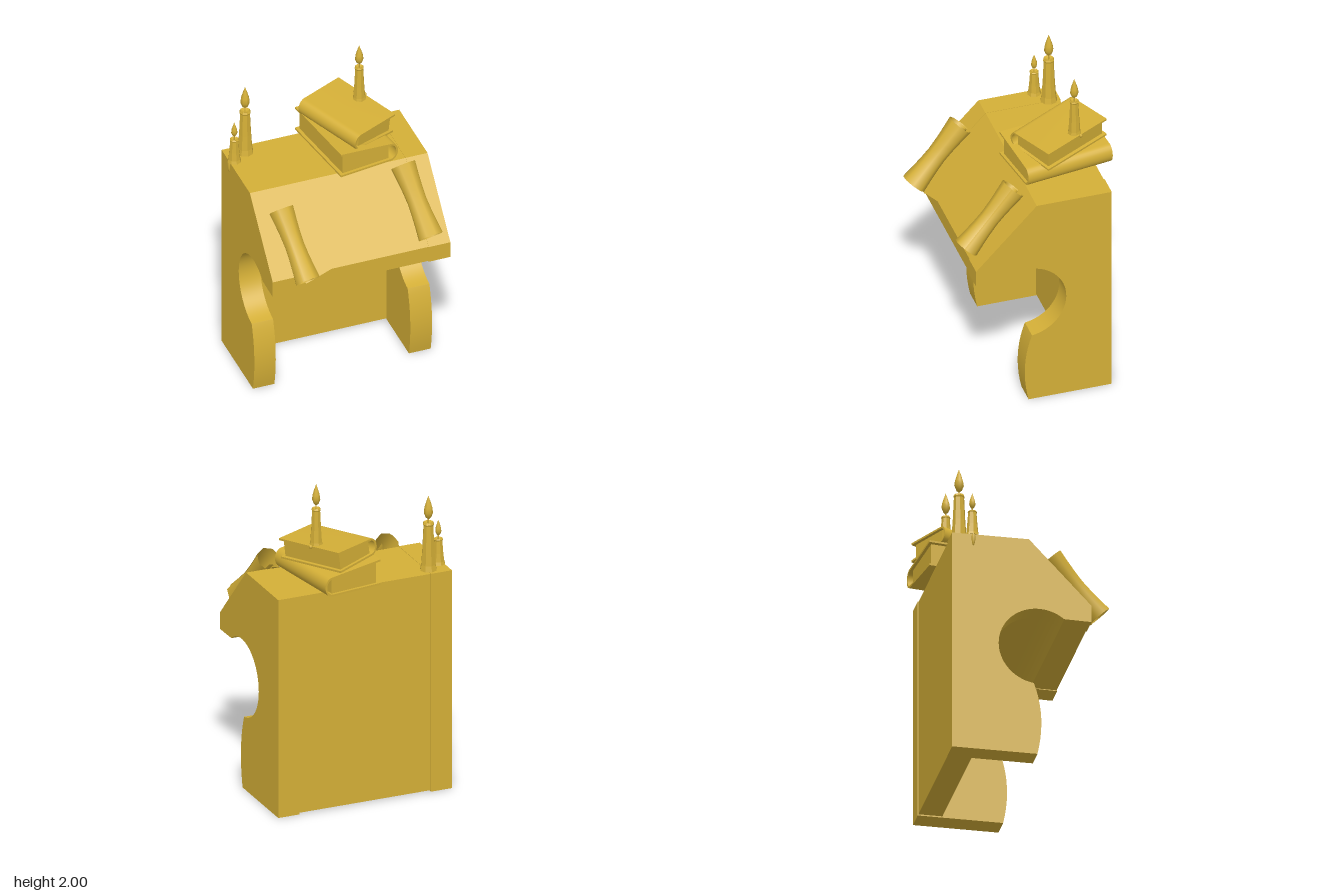
import * as THREE from 'three';
import { toCreasedNormals } from 'three/addons/utils/BufferGeometryUtils.js';
import { ParametricGeometry } from 'three/addons/geometries/ParametricGeometry.js';

const gold = new THREE.MeshStandardMaterial({ color: 0xd4af37 });
const goldThin = new THREE.MeshStandardMaterial({ color: 0xd4af37, side: THREE.DoubleSide });
const goldFacet = new THREE.MeshStandardMaterial({ color: 0xd4af37, side: THREE.DoubleSide, flatShading: true });

const shapeOf = (pts) => new THREE.Shape(pts.map(([x, y]) => new THREE.Vector2(x, y)));

function add(parent, name, geometry, material = gold) {
  const mesh = new THREE.Mesh(geometry, material);
  mesh.name = name;
  parent.add(mesh);
  return mesh;
}

// Points on an ellipse from angle a0 to a1
function arc(cx, cy, rx, ry, a0, a1, n) {
  return Array.from({ length: n + 1 }, (_, i) => {
    const a = a0 + (a1 - a0) * i / n;
    return [cx + rx * Math.cos(a), cy + ry * Math.sin(a)];
  });
}

// Side profile given as [z, y], extruded between x0 and x1
function slab(profile, x0, x1) {
  const g = new THREE.ExtrudeGeometry(shapeOf(profile.map(([z, y]) => [-z, y])),
    { depth: x1 - x0, bevelEnabled: false });
  g.rotateY(Math.PI / 2).translate(x0, 0, 0);
  return toCreasedNormals(g, 0.4);
}

function makeDesk() {
  const desk = new THREE.Group();
  desk.name = 'desk';
  const foot = new THREE.QuadraticBezierCurve(
    new THREE.Vector2(0.07, 0), new THREE.Vector2(0.125, 0.24), new THREE.Vector2(0.05, 0.45))
    .getPoints(10).map((p) => [p.x, p.y]);
  const knee = arc(0.08, 0.69, 0.24, 0.24, -1.7, -2 * Math.PI + 0.9, 36);
  const lip = [[0.39, 0.875], [0.39, 0.98], [0.02, 1.37]];
  const side = [[-0.437, 0], ...foot, ...knee, ...lip, [-0.437, 1.37]];
  add(desk, 'rightSide', slab(side, -0.55, -0.417));
  add(desk, 'leftSide', slab(side, 0.42, 0.555));
  // Back panel and sloping top between the sides
  const middle = [[-0.432, 0.008], [-0.29, 0.008], [-0.29, 0.935],
    ...arc(0.08, 0.69, 0.245, 0.245, Math.PI / 2, 0.9, 8),
    [0.387, 0.88], [0.387, 0.98], [0.018, 1.368], [-0.432, 1.368]];
  add(desk, 'backPanelAndTop', slab(middle, -0.417, 0.42));
  return desk;
}

// Curled sheet end: a spiral section swept along an axis with a narrow waist
function roll(from, to, turn) {
  const a = new THREE.Vector3(...from), b = new THREE.Vector3(...to);
  const g = new ParametricGeometry((u, v, out) => {
    const angle = turn + u * Math.PI * 2 * 1.7;
    const flare = 0.77 + 0.23 * Math.pow(Math.abs(2 * v - 1), 1.5);
    const r = flare * (u < 0.59 ? 0.076 : 0.076 - 0.1 * (u - 0.59));
    out.set(Math.cos(angle) * r, (v - 0.5) * a.distanceTo(b), Math.sin(angle) * r);
  }, 14, 6);
  g.applyQuaternion(new THREE.Quaternion().setFromUnitVectors(
    new THREE.Vector3(0, 1, 0), b.clone().sub(a).normalize()));
  const mid = a.add(b).multiplyScalar(0.5);
  return g.translate(mid.x, mid.y, mid.z);
}

function makeScroll() {
  const scroll = new THREE.Group();
  scroll.name = 'scroll';
  // Torn sheet outline as [x, z], laid on the slope
  const outline = [[-0.43, 0.105], [-0.36, 0.43], [-0.31, 0.42], [-0.17, 0.39], [-0.14, 0.37],
    [-0.1, 0.378], [0.05, 0.368], [0.2, 0.36], [0.4, 0.365], [0.38, 0.035], [0.3, 0.05],
    [0.16, 0.085], [0.15, 0.11], [0.11, 0.083], [0, 0.098], [-0.15, 0.105]];
  const g = new THREE.ShapeGeometry(shapeOf(outline.map(([x, z]) => [x, -z])));
  const p = g.attributes.position;
  for (let i = 0; i < p.count; i++) {
    const z = -p.getY(i);
    p.setXYZ(i, p.getX(i), 0.985 + (0.39 - z) * 1.054 + 0.008, z + 0.005);
  }
  g.computeVertexNormals();
  add(scroll, 'sheet', g, goldThin);
  add(scroll, 'rightRoll', roll([-0.365, 1.0, 0.475], [-0.415, 1.322, 0.175], 2.2), goldThin);
  add(scroll, 'leftRoll', roll([0.425, 1.068, 0.41], [0.37, 1.39, 0.105], 0.6), goldThin);
  return scroll;
}

// Book lying flat with its spine at -x and slightly spread covers
function makeBook(name, w, l, spineH, openH) {
  const book = new THREE.Group();
  book.name = name;
  const t = 0.012, edge = w / 2, h = spineH / 2, xs = -edge + h * 0.8, q = Math.PI / 2;
  const extrude = (pts, len) => toCreasedNormals(new THREE.ExtrudeGeometry(shapeOf(pts),
    { depth: len, bevelEnabled: false }).translate(0, 0, -len / 2), 0.6);
  const cover = [[edge, 0], ...arc(xs, h, h * 0.8, h, 3 * q, q, 12), [edge, openH], [edge, openH - t],
    ...arc(xs, h, h * 0.8 - t, h - t, q, 3 * q, 12), [edge, t]];
  const pages = [[xs + 0.005, t], [edge - 0.02, t], [edge - 0.02, openH - t - 0.003], [xs + 0.005, spineH - t]];
  add(book, 'cover', extrude(cover, l));
  add(book, 'pages', extrude(pages, l - 0.035));
  return book;
}

function makeCandle(name, x, y, z, height, r, flameH) {
  const candle = new THREE.Group();
  candle.name = name;
  candle.position.set(x, y, z);
  const lathe = (pts, n) => new THREE.LatheGeometry(pts.map(([a, b]) => new THREE.Vector2(a, b)), n);
  // Wax body, wider at the foot and pooled at the rim
  add(candle, 'wax', lathe([[0, 0], [r * 1.5, 0], [r * 1.3, height * 0.12], [r * 1.1, height * 0.45],
    [r * 0.9, height * 0.93], [r, height * 0.96], [r * 0.85, height], [r * 0.5, height - 0.006],
    [0, height - 0.01]], 8), goldFacet);
  add(candle, 'wick', new THREE.CylinderGeometry(0.004, 0.004, 0.05, 5).translate(0, height + 0.012, 0));
  add(candle, 'flame', lathe([[0, 0], [0.6, 0.1], [1, 0.3], [0.85, 0.5], [0.45, 0.75], [0, 1]]
    .map(([a, b]) => [a * flameH * 0.19, b * flameH]), 8), goldThin).position.y = height + 0.015;
  return candle;
}

export function createModel() {
  const model = new THREE.Group();
  model.name = 'writingDesk';
  model.add(makeDesk(), makeScroll());

  const lower = makeBook('lowerBook', 0.38, 0.545, 0.12, 0.16);
  lower.position.set(0.147, 1.372, -0.23);
  lower.rotation.y = Math.PI + 0.148;
  const upper = makeBook('upperBook', 0.325, 0.46, 0.105, 0.128);
  upper.position.set(0.145, 1.508, -0.245);
  upper.rotation.set(0.07, 0.434, -0.08, 'YXZ');
  model.add(lower, upper);

  model.add(makeCandle('tallCandle', -0.43, 1.37, -0.37, 0.3, 0.034, 0.15),
    makeCandle('shortCandle', -0.52, 1.37, -0.31, 0.16, 0.028, 0.1),
    makeCandle('bookCandle', 0.255, 1.61, -0.305, 0.24, 0.028, 0.135));

  // Wax running over the desk edge and a drop on the book
  const drip = add(model, 'waxDrip', new THREE.SphereGeometry(0.012, 6, 5));
  drip.scale.y = 4;
  drip.position.set(-0.55, 1.345, -0.31);
  const drop = add(model, 'waxDrop', new THREE.SphereGeometry(0.011, 6, 5));
  drop.position.set(0.3, 1.622, -0.33);
  return model;
}
